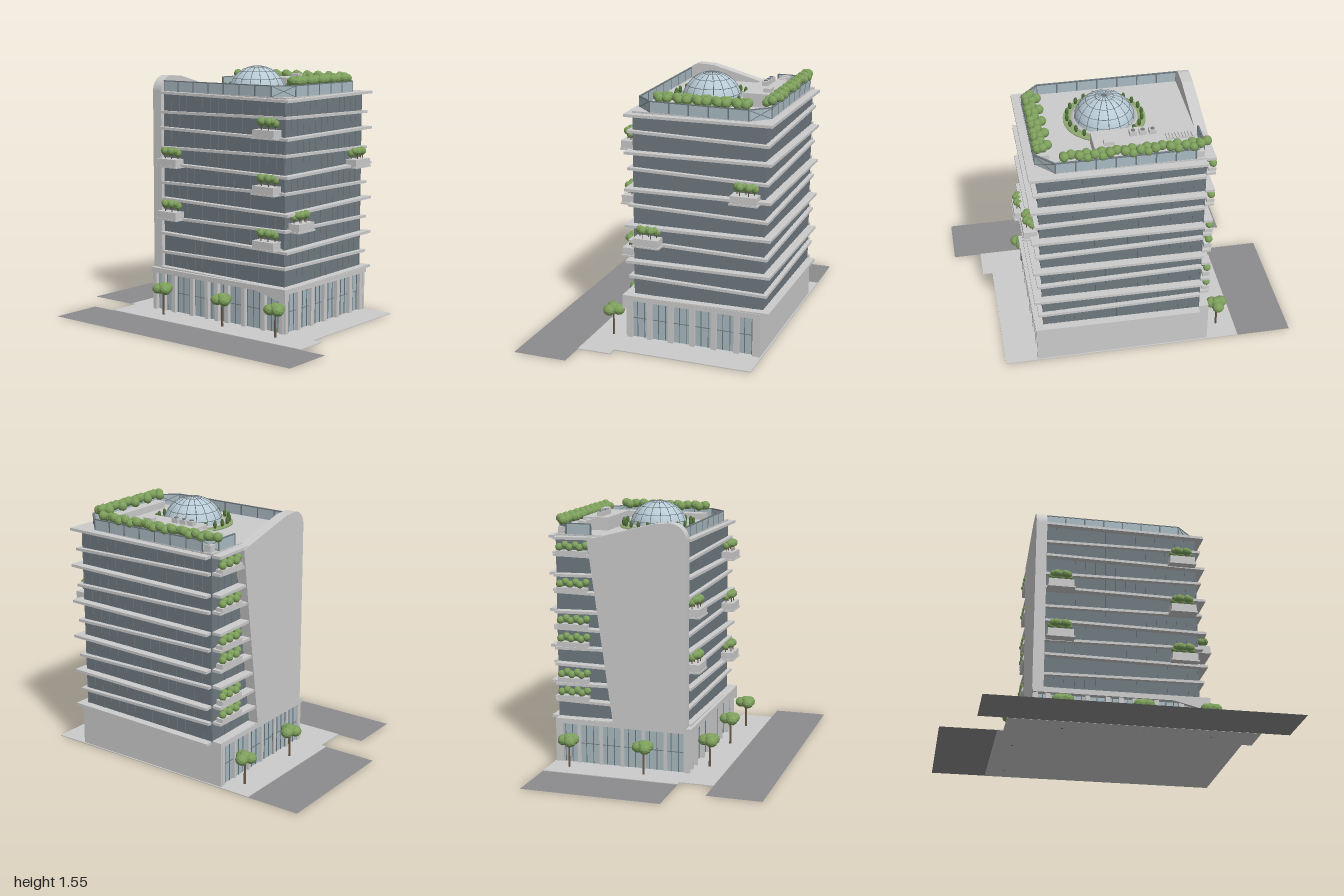
import * as THREE from 'three';

const mat = (color, o = {}) => new THREE.MeshStandardMaterial({ color, ...o });
const grey = mat(0xcccccc);
const glass = mat(0xa9bac2);
const frame = mat(0x6f7a80);
const road = mat(0x8c8c8e, { side: THREE.DoubleSide });
const leaf = mat(0x7d9f5c, { flatShading: true });
const shrubGreen = mat(0x4f7038, { flatShading: true });
const lawn = mat(0x8fa872);
const wood = mat(0x6b5a48);

export function createModel() {
  const model = new THREE.Group();
  const part = (name, parent = model) => {
    const g = new THREE.Group();
    g.name = name;
    parent.add(g);
    return g;
  };
  const add = (parent, name, geo, m, x = 0, y = 0, z = 0) => {
    const mesh = new THREE.Mesh(geo, m);
    mesh.name = name;
    mesh.position.set(x, y, z);
    parent.add(mesh);
    return mesh;
  };
  // box given by its limits on each axis
  const box = (parent, name, m, x0, x1, y0, y1, z0, z1) =>
    add(parent, name, new THREE.BoxGeometry(x1 - x0, y1 - y0, z1 - z0), m,
      (x0 + x1) / 2, (y0 + y1) / 2, (z0 + z1) / 2);
  // thin bar between two points
  const bar = (parent, name, m, a, b, t, h = t) => {
    const d = b.clone().sub(a);
    const mesh = add(parent, name, new THREE.BoxGeometry(t, h, d.length()), m);
    mesh.position.copy(a).add(b).multiplyScalar(0.5);
    mesh.lookAt(b);
    return mesh;
  };
  const V = (x, y, z) => new THREE.Vector3(x, y, z);
  const ballGeo = new THREE.IcosahedronGeometry(1, 1);
  const ball = (parent, x, y, z, r) => {
    const b = add(parent, 'foliage', ballGeo, leaf, x, y, z);
    b.scale.setScalar(r);
    b.rotation.set(x * 9, z * 17, y * 5);
  };

  // Ground
  const ground = part('ground');
  box(ground, 'plaza', grey, -0.67, 0.77, 0, 0.005, -0.665, 0.175);
  box(ground, 'frontPavement', grey, -0.635, 0.83, 0, 0.005, 0.175, 0.38);
  add(ground, 'sideRoad', new THREE.PlaneGeometry(0.33, 0.84).rotateX(-Math.PI / 2), road, -0.835, 0.001, -0.245);
  add(ground, 'frontRoad', new THREE.PlaneGeometry(1.8, 0.33).rotateX(-Math.PI / 2), road, 0.1, 0.001, 0.545);

  // Podium
  const podium = part('podium');
  box(podium, 'shopGlass', glass, -0.46, 0.55, 0.004, 0.25, -0.645, 0.16);
  box(podium, 'backWall', grey, -0.475, 0.575, 0.004, 0.25, -0.657, -0.64);
  box(podium, 'canopy', grey, -0.475, 0.585, 0.245, 0.276, -0.657, 0.197);
  for (const x of [-0.457, -0.385, -0.3, -0.15, -0.03, 0.05, 0.13, 0.26, 0.41, 0.545])
    box(podium, 'frontColumn', grey, x - 0.014, x + 0.014, 0.004, 0.25, 0.15, 0.185);
  for (const z of [0.16, 0.035, -0.1, -0.235, -0.37, -0.51, -0.625]) {
    box(podium, 'rightColumn', grey, 0.54, 0.572, 0.004, 0.25, z - 0.016, z + 0.016);
    box(podium, 'leftColumn', grey, -0.473, -0.45, 0.004, 0.25, z - 0.01, z + 0.01);
  }
  for (let i = 1; i < 22; i++) {
    const x = -0.46 + i * 0.046;
    box(podium, 'frontMullion', frame, x - 0.002, x + 0.002, 0.004, 0.25, 0.158, 0.164);
  }
  for (let i = 1; i < 18; i++) {
    const z = -0.645 + i * 0.0447;
    box(podium, 'sideMullion', frame, -0.464, 0.554, 0.004, 0.25, z - 0.002, z + 0.002);
  }
  box(podium, 'transom', frame, -0.463, 0.553, 0.125, 0.129, -0.64, 0.163);
  // tapering drop at the front right corner
  const drop = new THREE.Shape([[0.34, 0.25], [0.585, 0.19], [0.585, 0.25]].map(p => new THREE.Vector2(...p)));
  add(podium, 'canopyDrop', new THREE.ExtrudeGeometry(drop, { depth: 0.025, bevelEnabled: false }), grey, 0, 0, 0.172);

  // Glass tower with mullions
  const X0 = -0.41, X1 = 0.53, Z0 = -0.655, Z1 = 0.135, ROOF = 1.385;
  const tower = part('tower');
  box(tower, 'curtainWall', glass, X0, X1, 0.27, ROOF, Z0, Z1);
  for (let i = 0; i <= 15; i++) {
    const x = X0 + (X1 - X0) * i / 15;
    box(tower, 'mullion', frame, x - 0.0025, x + 0.0025, 0.27, ROOF, Z0 - 0.005, Z1 + 0.005);
  }
  for (let i = 0; i <= 13; i++) {
    const z = Z0 + (Z1 - Z0) * i / 13;
    box(tower, 'mullion', frame, X0 - 0.005, X1 + 0.005, 0.27, ROOF, z - 0.0025, z + 0.0025);
  }

  // Floor ledges, tilted in alternate directions
  const ledges = part('floorLedges');
  for (let i = 0; i <= 10; i++) {
    const y = 0.272 + i * 0.1105, s = i % 2 ? 1 : -1, t = 0.006 * s;
    const out = i % 2 ? 0.03 : 0.052, f = 0.03 + (i % 2 ? 0 : 0.012);
    bar(ledges, 'frontLedge', grey, V(X0, y - t, Z1 + f / 2), V(X1 + out, y + t, Z1 + f / 2), f, 0.016);
    bar(ledges, 'rightLedge', grey, V(X1 + out / 2, y + t, Z1 + f), V(X1 + out / 2, y - t, Z0 - out), out, 0.016);
    bar(ledges, 'backLedge', grey, V(X1 + out, y - t, Z0 - out / 2), V(X0, y + t, Z0 - out / 2), out, 0.016);
    bar(ledges, 'leftLedge', grey, V(X0 - 0.03, y + t, Z0), V(X0 - 0.03, y, -0.3), 0.06, 0.016);
  }

  // Solid side wall with rounded top front and slanted rear edge
  const wall = new THREE.Shape();
  wall.moveTo(-0.165, 0.27);
  wall.lineTo(-0.165, 1.39);
  wall.absarc(-0.07, 1.39, 0.095, Math.PI, Math.PI / 2, true);
  wall.lineTo(0.02, 1.48);
  wall.lineTo(0.44, 1.37);
  wall.lineTo(0.29, 0.27);
  const wallGeo = new THREE.ExtrudeGeometry(wall, { depth: 0.067, bevelEnabled: false, curveSegments: 12 });
  add(model, 'sideWall', wallGeo.rotateY(Math.PI / 2), grey, -0.476, 0, 0);

  // Roof deck and glass parapet with cut corners
  const roof = part('roof');
  const rim = [[X0, Z1], [0.43, Z1], [X1, 0.035], [X1, -0.555], [0.43, Z0], [-0.35, Z0], [X0, -0.59], [X0, -0.44]];
  box(roof, 'deck', grey, X0 - 0.005, X1 + 0.005, 1.375, 1.39, Z0 - 0.005, Z1 + 0.005);
  for (let i = 0; i < rim.length - 1; i++) {
    const [ax, az] = rim[i], [bx, bz] = rim[i + 1];
    const at = (k, y) => V(ax + (bx - ax) * k, y, az + (bz - az) * k);
    bar(roof, 'parapetGlass', glass, at(0, 1.42), at(1, 1.42), 0.006, 0.066);
    bar(roof, 'parapetRail', frame, at(0, 1.454), at(1, 1.454), 0.01, 0.006);
    const n = Math.max(1, Math.round(at(0, 0).distanceTo(at(1, 0)) / 0.12));
    for (let k = 0; k <= n; k++) {
      const p = at(k / n, 0);
      box(roof, 'parapetPost', frame, p.x - 0.004, p.x + 0.004, 1.39, 1.455, p.z - 0.004, p.z + 0.004);
    }
    if (i === 1 || i === 3 || i === 5) {
      bar(roof, 'crossBrace', frame, at(0, 1.39), at(1, 1.452), 0.009, 0.004);
      bar(roof, 'crossBrace', frame, at(0, 1.452), at(1, 1.39), 0.009, 0.004);
    }
  }

  // Roof plant room with units and slatted frame
  box(roof, 'plantRoom', grey, -0.2, 0.2, 1.39, 1.468, -0.57, -0.41);
  for (const x of [-0.14, -0.085, -0.03]) {
    box(roof, 'coolingUnit', grey, x - 0.02, x + 0.02, 1.468, 1.495, -0.495, -0.46);
    add(roof, 'fan', new THREE.CylinderGeometry(0.012, 0.012, 0.005, 12), frame, x, 1.497, -0.478);
  }
  box(roof, 'vent', grey, 0.085, 0.145, 1.468, 1.49, -0.56, -0.515);
  for (let i = 0; i < 9; i++)
    box(roof, 'slat', grey, -0.365 + i * 0.018, -0.355 + i * 0.018, 1.455, 1.463, -0.535, -0.485);
  for (const z of [-0.53, -0.49]) {
    box(roof, 'slatBeam', grey, -0.37, -0.2, 1.447, 1.455, z - 0.003, z + 0.003);
    box(roof, 'slatPost', grey, -0.365, -0.355, 1.39, 1.45, z - 0.004, z + 0.004);
  }

  // Dome with ribs, and a planted ring round it
  const dome = part('dome');
  dome.position.set(0.08, 1.385, -0.18);
  const R = 0.175, H = 0.165;
  const shell = new THREE.SphereGeometry(R, 40, 12, 0, Math.PI * 2, 0, Math.PI / 2);
  add(dome, 'domeGlass', shell, mat(0xb9cbd6)).scale.y = H / R;
  for (let i = 0; i < 8; i++) {
    const rib = add(dome, 'domeRib', new THREE.TorusGeometry(R, 0.002, 4, 32, Math.PI), frame);
    rib.rotation.y = i * Math.PI / 8;
    rib.scale.y = H / R;
  }
  for (const a of [0.3, 0.65, 1.0, 1.3])
    add(dome, 'domeHoop', new THREE.TorusGeometry(R * Math.sin(a), 0.002, 4, 40).rotateX(Math.PI / 2), frame,
      0, H * Math.cos(a), 0);
  const ring = (r0, r1, h) => new THREE.LatheGeometry(
    [[r0, 0], [r1, 0], [r1, h], [r0, h], [r0, 0]].map(p => new THREE.Vector2(...p)), 40);
  add(dome, 'domeCurb', ring(0.168, 0.192, 0.025), grey);
  add(dome, 'lawnRing', ring(0.192, 0.238, 0.014), lawn);
  for (let i = 0; i < 22; i++) {
    const a = i * Math.PI / 11;
    add(dome, 'shrub', new THREE.IcosahedronGeometry(0.011, 1), shrubGreen,
      0.216 * Math.cos(a), 0.035, 0.216 * Math.sin(a)).scale.y = 2.2;
  }

  // Roof hedges
  const hedge = part('roofHedges');
  box(hedge, 'backPlanter', grey, -0.4, 0.4, 1.39, 1.43, -0.65, -0.59);
  box(hedge, 'rightPlanter', grey, 0.445, 0.515, 1.39, 1.43, -0.54, 0.01);
  for (let i = 0; i < 20; i++) {
    const x = -0.42 + i * 0.042;
    ball(hedge, x, 1.472 + 0.008 * (i % 2), -0.61 - 0.03 * (i % 2), 0.028);
    if (i % 3) ball(hedge, x, 1.467, -0.648 + 0.04 * (i % 2), 0.025);
  }
  for (let c = 0; c < 5; c++)
    for (const [dx, dz, dy] of [[-0.03, 0, 0], [0.03, 0.015, 0], [0, -0.035, 0.008], [0.005, 0.035, 0.005], [0.028, -0.03, 0]])
      ball(hedge, 0.482 + dx, 1.474 + dy, -0.5 + c * 0.117 + dz, 0.028);

  // Hanging planters; local x runs along the wall, local z points outward
  const planter = (x, y, z, turn) => {
    const g = part('balconyPlanter');
    g.position.set(x, y, z);
    g.rotation.y = turn;
    box(g, 'trough', grey, -0.078, 0.078, 0, 0.048, 0.012, 0.088);
    box(g, 'floor', grey, -0.085, 0.085, -0.006, 0.004, 0, 0.092);
    for (let i = 0; i < 5; i++) {
      const bx = -0.052 + i * 0.026, bz = i % 2 ? 0.065 : 0.035;
      add(g, 'stem', new THREE.CylinderGeometry(0.003, 0.003, 0.05, 5), wood, bx, 0.06, bz);
      ball(g, bx, 0.084 + (i % 2) * 0.012, bz, 0.024);
    }
    for (const s of [-0.045, 0, 0.045]) ball(g, s, 0.098, 0.052, 0.022);
  };
  for (const y of [0.5, 0.825, 1.155]) planter(0.435, y, Z1, 0);
  for (const y of [0.6, 0.93]) planter(-0.32, y, Z1, 0);
  planter(X1, 0.93, -0.555, Math.PI / 2);
  planter(X1, 0.605, 0.035, Math.PI / 2);

  // Planted terraces behind the side wall
  const terraces = part('leftTerraces');
  for (const y of [0.39, 0.5, 0.72, 0.83, 1.05, 1.27]) {
    box(terraces, 'trough', grey, -0.474, -0.43, y, y + 0.03, -0.64, -0.45);
    for (let i = 0; i < 6; i++)
      ball(terraces, -0.46 + 0.012 * (i % 2), y + 0.05 + 0.012 * (i % 2), -0.62 + i * 0.032, 0.023);
  }

  // Street trees
  for (const [x, z] of [[-0.56, -0.54], [-0.56, -0.07], [-0.31, 0.265], [0.165, 0.265], [0.565, 0.265]]) {
    const tree = part('streetTree');
    tree.position.set(x, 0, z);
    add(tree, 'trunk', new THREE.CylinderGeometry(0.005, 0.007, 0.16, 6), wood, 0, 0.08, 0);
    for (let i = 0; i < 3; i++) {
      const a = i * Math.PI * 2 / 3 + 0.5;
      add(tree, 'crown', ballGeo, leaf, 0.033 * Math.cos(a), 0.17, 0.033 * Math.sin(a)).scale.set(0.038, 0.034, 0.038);
    }
    add(tree, 'crownTop', ballGeo, leaf, 0, 0.183, 0).scale.set(0.036, 0.03, 0.036);
  }
  return model;
}
